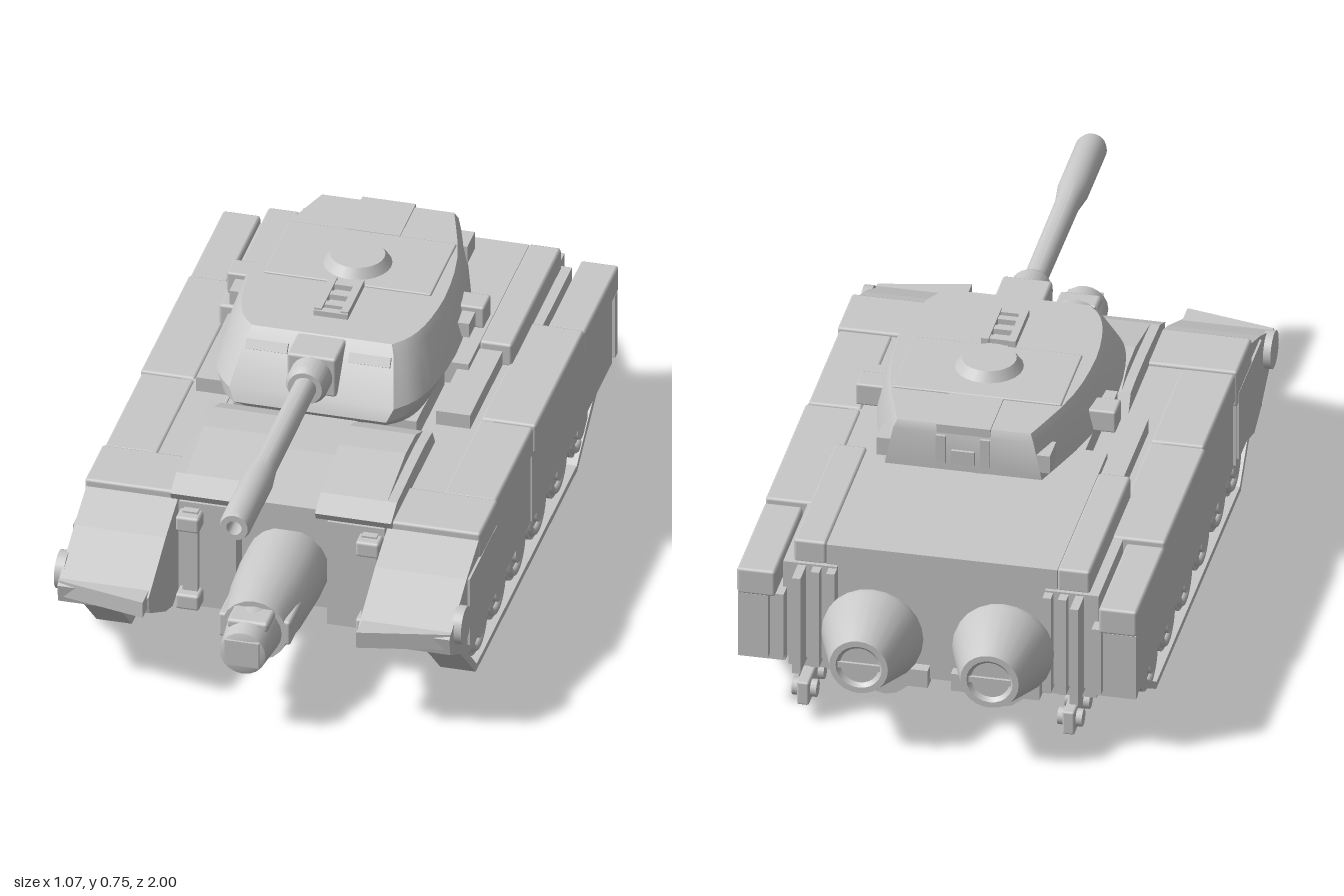
import * as THREE from 'three';
import { toCreasedNormals } from 'three/addons/utils/BufferGeometryUtils.js';
import { RoundedBoxGeometry } from 'three/addons/geometries/RoundedBoxGeometry.js';

const steel = new THREE.MeshStandardMaterial({ color: 0xc8c8c8 });
steel.name = 'grey steel';

export function createModel() {
  const root = new THREE.Group();
  root.name = 'tank';

  const add = (name, geo, x = 0, y = 0, z = 0) => {
    const m = new THREE.Mesh(geo, steel);
    m.name = name;
    m.position.set(x, y, z);
    root.add(m);
    return m;
  };
  // box from its limits, slightly rounded when r is given
  const box = (name, x0, x1, y0, y1, z0, z1, r = 0) => {
    const d = [x1 - x0, y1 - y0, z1 - z0];
    const g = r ? new RoundedBoxGeometry(...d, 1, r) : new THREE.BoxGeometry(...d);
    return add(name, g, (x0 + x1) / 2, (y0 + y1) / 2, (z0 + z1) / 2);
  };
  // side outline of [z, y] points, extruded from x0 to x1
  const slab = (name, pts, x0, x1) => {
    const shape = new THREE.Shape(pts.map(p => new THREE.Vector2(...p)));
    const g = new THREE.ExtrudeGeometry(shape, { depth: x1 - x0, bevelEnabled: false });
    g.rotateY(-Math.PI / 2);
    return add(name, g, x1);
  };
  // turned part along z, profile of [radius, z] from back to front
  const turned = (name, pts, x, y, sides = 24) => {
    const g = new THREE.LatheGeometry(pts.map(p => new THREE.Vector2(...p)), sides);
    g.rotateX(Math.PI / 2);
    return add(name, toCreasedNormals(g, 0.5), x, y, 0);
  };
  const disc = (name, r, w, x, y, z, sides = 24) =>
    add(name, new THREE.CylinderGeometry(r, r, w, sides).rotateZ(Math.PI / 2), x, y, z);
  // the same box or slab on both sides
  const boxes = (name, x0, x1, ...rest) => {
    box(name, x0, x1, ...rest);
    box(name, -x1, -x0, ...rest);
  };
  const slabs = (name, pts, x0, x1) => {
    slab(name, pts, x0, x1);
    slab(name, pts, -x1, -x0);
  };

  // hull
  box('hull', -0.27, 0.27, 0.12, 0.42, -0.79, 0.47);
  boxes('frontPlate', 0.12, 0.27, 0.11, 0.415, 0.47, 0.53);
  box('frontLintel', -0.12, 0.12, 0.36, 0.415, 0.47, 0.51);
  boxes('frontColumn', 0.215, 0.255, 0.12, 0.4, 0.53, 0.55);
  for (const y of [0.12, 0.35]) boxes('columnBlock', 0.205, 0.268, y, y + 0.045, 0.52, 0.575, 0.008);
  boxes('hullSide', 0.27, 0.41, 0.15, 0.425, -0.8, 0.47);
  const cowl = [[0.53, 0.42], [0.54, 0.44], [0.48, 0.468], [0.3, 0.503], [0.2, 0.5], [0.13, 0.47], [0.1, 0.42]];
  slabs('frontCowl', cowl, 0.09, 0.265);
  slabs('cowlFlank', cowl.map(([z, y]) => [z, Math.min(y, 0.475)]), 0.265, 0.29);
  slab('cowlCentre', [[0.52, 0.42], [0.52, 0.44], [0.3, 0.47], [0, 0.46], [0, 0.41]], -0.09, 0.09);
  boxes('midDeck', 0.1, 0.24, 0.42, 0.475, -0.18, 0.1);
  box('rearDeck', -0.3, 0.3, 0.42, 0.482, -0.79, -0.19);
  boxes('deckRail', 0.3, 0.385, 0.42, 0.487, -0.79, -0.3, 0.008);
  boxes('deckShoulder', 0.27, 0.36, 0.42, 0.465, -0.3, 0.02);
  add('turretRing', new THREE.CylinderGeometry(0.12, 0.13, 0.1, 24), 0, 0.47, -0.24);

  // nose pod
  turned('nosePod', [[0.108, 0.42], [0.11, 0.55], [0.104, 0.66], [0.088, 0.78], [0.086, 0.8], [0.072, 0.8],
    [0.06, 0.915], [0.045, 0.92], [0, 0.92]], 0, 0.232, 20);
  box('noseBlock', -0.045, 0.045, 0.2, 0.272, 0.8, 0.926);
  box('noseCap', -0.055, 0.055, 0.272, 0.3, 0.7, 0.87, 0.01);
  boxes('noseBand', 0.07, 0.095, 0.2, 0.27, 0.62, 0.8, 0.008);

  // belly
  box('bellyPlate', -0.26, 0.26, 0.108, 0.13, -0.42, 0.0);
  for (const s of [-1, 1]) {
    turned('frontBellyTube', [[0, -0.03], [0.09, -0.03], [0.09, 0.32], [0.06, 0.42], [0, 0.42]], s * 0.15, 0.125, 14);
    turned('rearBellyTube', [[0, -0.78], [0.07, -0.78], [0.09, -0.68], [0.09, -0.3], [0, -0.3]], s * 0.15, 0.125, 14);
    // rear nozzles
    turned('nozzle', [[0, -0.99], [0.05, -0.99], [0.06, -1], [0.076, -1], [0.131, -0.845], [0.131, -0.83],
      [0.1, -0.83], [0.1, -0.77]], s * 0.17, 0.258, 24);
    box('nozzleSlot', s * 0.17 - 0.055, s * 0.17 + 0.055, 0.25, 0.266, -0.998, -0.98);
    // towing hitches
    box('hitch', s * 0.345 - 0.016, s * 0.345 + 0.016, 0.045, 0.112, -0.865, -0.7, 0.006);
    for (const z of [-0.74, -0.83]) disc('hitchPin', 0.023, 0.064, s * 0.345, 0.08, z, 12);
  }
  boxes('hitchArm', 0.25, 0.4, 0.112, 0.15, -0.78, -0.6);

  // rear ribs
  for (const x of [0.27, 0.31, 0.35]) boxes('rearRib', x, x + 0.022, 0.14, 0.42, x === 0.35 ? -0.87 : -0.83, -0.78);
  boxes('rearBeam', 0.03, 0.26, 0.11, 0.16, -0.82, -0.78);
  boxes('rearPost', 0.4, 0.425, 0.16, 0.35, -0.84, -0.78);

  // side armour
  boxes('rearSkirt', 0.4, 0.51, 0.145, 0.345, -0.82, -0.025);
  boxes('frontSkirt', 0.4, 0.508, 0.148, 0.345, -0.02, 0.36);
  boxes('rearTopArmour', 0.42, 0.52, 0.345, 0.42, -0.85, -0.515, 0.008);
  boxes('midTopArmour', 0.375, 0.52, 0.345, 0.43, -0.51, -0.03, 0.008);
  boxes('frontTopArmour', 0.375, 0.515, 0.345, 0.43, -0.025, 0.345, 0.008);
  boxes('podShoulder', 0.28, 0.52, 0.33, 0.435, 0.345, 0.52, 0.008);
  boxes('skirtEnd', 0.44, 0.517, 0.16, 0.345, -0.845, -0.82);
  slabs('frontPod', [[0.35, 0.155], [0.42, 0.17], [0.57, 0.125], [0.64, 0.15], [0.8, 0.24], [0.81, 0.29],
    [0.64, 0.37], [0.51, 0.418], [0.35, 0.418]], 0.275, 0.515);
  slabs('podSidePlate', [[0.36, 0.17], [0.63, 0.17], [0.63, 0.365], [0.36, 0.365]], 0.4, 0.521);

  for (const s of [-1, 1]) {
    // slanted ledge on each pod
    const plan = [[0.28, 0.7], [0.28, 0.85], [0.515, 0.8], [0.515, 0.7]];
    const shape = new THREE.Shape(plan.map(([x, z]) => new THREE.Vector2(s * x, -z)));
    const ledge = new THREE.ExtrudeGeometry(shape, { depth: 0.045, bevelEnabled: false }).rotateX(-Math.PI / 2);
    add('podLedge', ledge, 0, 0.255, 0);
    disc('podHub', 0.05, 0.025, s * 0.522, 0.285, 0.72);

    // road wheels
    for (const z of [0.43, 0.25, 0.055, -0.15, -0.355, -0.56]) {
      disc('roadWheel', 0.088, 0.08, s * 0.445, 0.115, z);
      add('wheelRim', new THREE.TorusGeometry(0.068, 0.012, 6, 24).rotateY(Math.PI / 2), s * 0.485, 0.115, z);
      disc('wheelHub', 0.04, 0.02, s * 0.49, 0.115, z);
    }
  }
  // track bands
  slabs('track', [[0.7, 0.2], [0.59, 0.1], [0.485, 0], [-0.52, 0], [-0.77, 0.15], [-0.74, 0.16],
    [-0.515, 0.018], [0.475, 0.018], [0.57, 0.11], [0.65, 0.2]], 0.405, 0.498);

  // turret shell, lofted through level rings: [y, half width, back z, front z]
  const levels = [[0.51, 0.255, -0.25, 0.19], [0.555, 0.278, -0.41, 0.25], [0.588, 0.3, -0.535, 0.235],
    [0.695, 0.268, -0.535, 0.15], [0.715, 0.255, -0.525, 0.13]];
  const half = new THREE.SplineCurve([[0.72, 1], [0.86, 0.93], [0.96, 0.8], [1, 0.58], [0.92, 0.3], [0.68, 0]]
    .map(p => new THREE.Vector2(...p))).getPoints(14);
  const outline = [...half, ...half.slice().reverse().map(p => new THREE.Vector2(-p.x, p.y))];
  const n = outline.length, pos = [], idx = [];
  for (const [y, w, z0, z1] of levels) for (const p of outline) pos.push(p.x * w, y, z0 + (z1 - z0) * p.y);
  for (let l = 0; l < levels.length - 1; l++) for (let i = 0; i < n; i++) {
    const a = l * n + i, b = l * n + (i + 1) % n;
    idx.push(a, b, a + n, b, b + n, a + n);
  }
  const top = (levels.length - 1) * n;
  for (let i = 1; i < n - 1; i++) {
    idx.push(0, i + 1, i);
    idx.push(top, top + i, top + i + 1);
  }
  const shell = new THREE.BufferGeometry();
  shell.setAttribute('position', new THREE.Float32BufferAttribute(pos, 3));
  shell.setIndex(idx);
  add('turretShell', toCreasedNormals(shell, 0.5));

  // turret fittings
  box('roofPlate', -0.22, 0.22, 0.7, 0.72, -0.375, -0.12, 0.004);
  add('hatch', new THREE.CylinderGeometry(0.07, 0.09, 0.028, 24), 0, 0.731, -0.225);
  boxes('roofLadderRail', 0.025, 0.045, 0.71, 0.735, -0.12, 0.04);
  for (const z of [-0.1, -0.05, 0, 0.035]) box('roofLadderRung', -0.045, 0.045, 0.712, 0.73, z - 0.01, z + 0.01);
  box('rearRoofStrip', -0.07, 0.07, 0.69, 0.719, -0.535, -0.375);
  boxes('rearNotchSide', 0.045, 0.07, 0.61, 0.69, -0.543, -0.5);
  box('rearLatch', -0.03, 0.03, 0.61, 0.65, -0.543, -0.5);
  boxes('sideLug', 0.25, 0.338, 0.588, 0.65, -0.27, -0.2, 0.006);
  boxes('sideLugFront', 0.25, 0.315, 0.595, 0.635, -0.2, -0.14);
  boxes('rearLug', 0.17, 0.225, 0.61, 0.66, -0.535, -0.46);
  for (const s of [-1, 1]) {
    const visor = add('visor', new THREE.BoxGeometry(0.11, 0.026, 0.025), s * 0.135, 0.677, 0.16);
    visor.rotation.x = -0.6;
  }

  // gun
  box('mantletBlock', -0.065, 0.065, 0.598, 0.712, 0, 0.235, 0.008);
  turned('mantlet', [[0.055, 0.05], [0.055, 0.28], [0.045, 0.3], [0, 0.3]], 0, 0.655);
  turned('barrel', [[0.03, 0.28], [0.032, 0.7], [0.041, 0.77], [0.041, 0.985], [0.036, 1], [0.02, 1],
    [0.02, 0.93], [0, 0.93]], 0, 0.657);
  return root;
}
